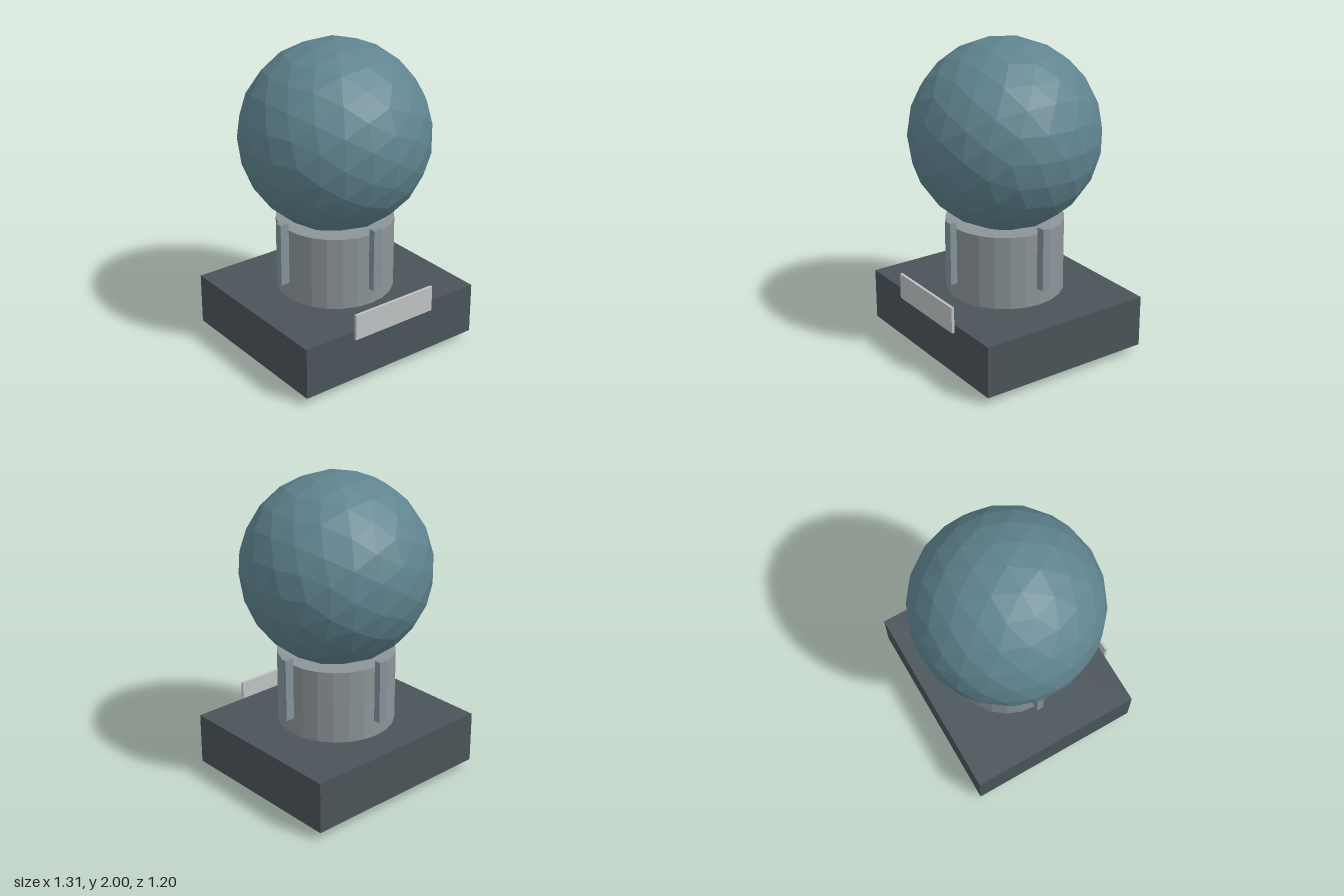
import * as THREE from 'three';

const mat = (name, color, flatShading = false) => {
  const m = new THREE.MeshStandardMaterial({ color, flatShading });
  m.name = name;
  return m;
};

// Sphere made by halving the edges of an icosahedron twice
function icosphere(radius) {
  const once = Array.from(new THREE.IcosahedronGeometry(1, 1).attributes.position.array);
  const index = Array.from({ length: once.length / 3 }, (_, i) => i);
  return new THREE.PolyhedronGeometry(once, index, radius, 1);
}

export function createModel() {
  const model = new THREE.Group();
  model.name = 'globeOnStand';

  const slate = mat('slate', 0x4a5459);
  const steel = mat('steel', 0x8c9598, true);
  const finGrey = mat('finGrey', 0x84939a);
  const blue = mat('dustyBlue', 0x5f8490, true);
  const pale = mat('paleGrey', 0xbfc3c3);
  const copper = mat('copper', 0xb9835a, true);

  const add = (name, geometry, material, x, y, z) => {
    const mesh = new THREE.Mesh(geometry, material);
    mesh.name = name;
    mesh.position.set(x, y, z);
    model.add(mesh);
  };

  // Base block, collar and ball
  add('base', new THREE.BoxGeometry(1.31, 0.335, 1.164), slate, 0, 0.2175, 0);
  add('collar', new THREE.CylinderGeometry(0.375, 0.375, 0.475, 24), steel, 0, 0.6225, 0);
  add('ball', icosphere(0.6), blue, 0, 1.4, 0);

  // Four upright fins around the collar
  const fin = new THREE.BoxGeometry(0.06, 0.41, 0.046);
  for (const [x, z] of [[1, 0], [-1, 0], [0, 1], [0, -1]]) {
    add('fin', fin, finGrey, x * 0.405, 0.705, z * 0.405);
  }

  // Plate standing on the front edge
  add('frontPlate', new THREE.BoxGeometry(0.6, 0.168, 0.018), pale, 0, 0.415, 0.591);

  // Two front feet
  const foot = new THREE.CylinderGeometry(0.065, 0.065, 0.05, 16);
  for (const side of [1, -1]) add('foot', foot, copper, side * 0.453, 0.025, 0.415);

  return model;
}
